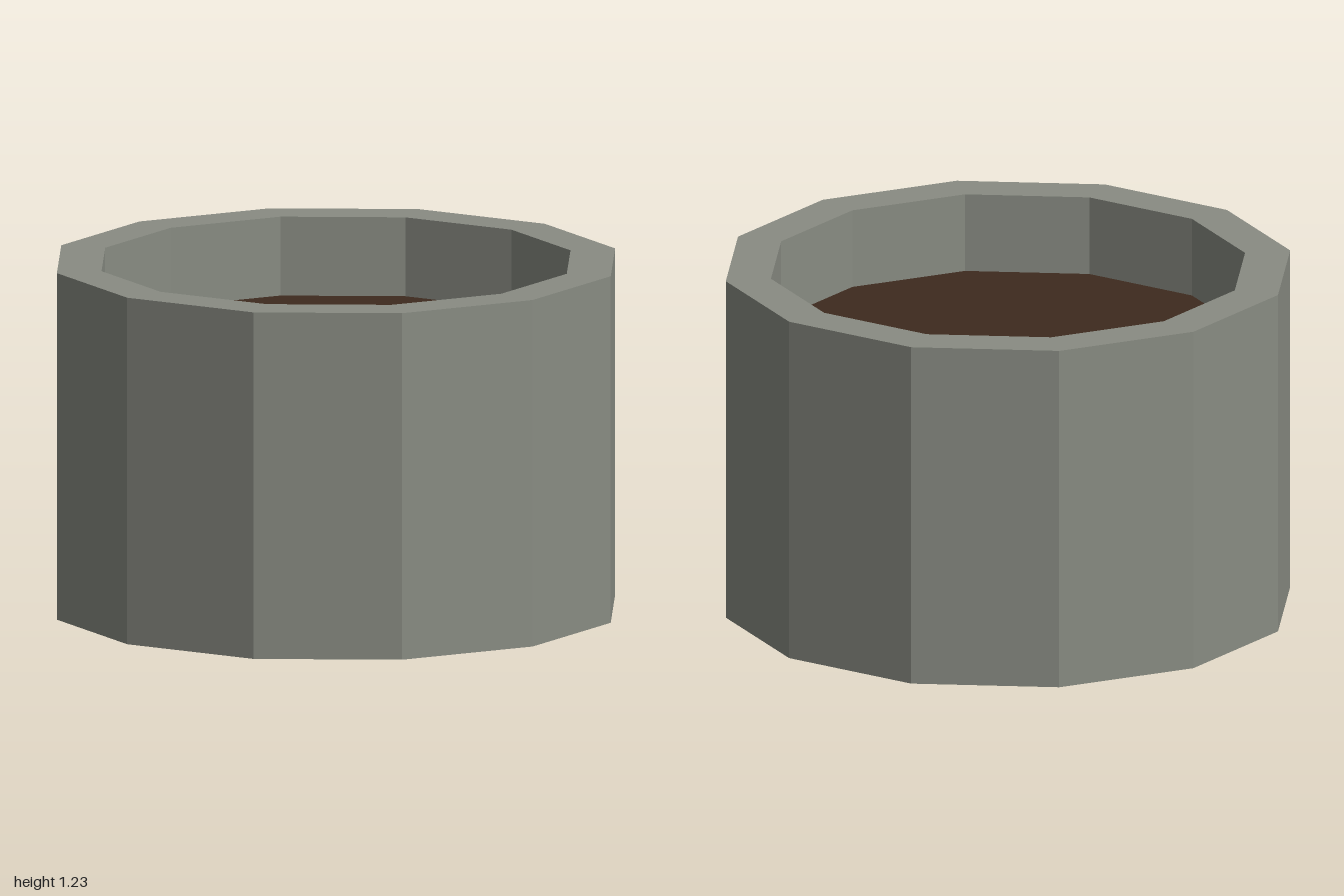
import * as THREE from 'three';

const SIDES = 12;
const HEIGHT = 1.23;
const INNER_RADIUS = 0.84;
const SOIL_LEVEL = 0.95;

export function createModel() {
  const model = new THREE.Group();
  model.name = 'planter';

  // Pot: base, outer wall, flat rim and inner wall in one turned profile
  const profile = [
    [0, 0], [1, 0], [1, HEIGHT], [INNER_RADIUS, HEIGHT], [INNER_RADIUS, SOIL_LEVEL],
  ].map(([r, y]) => new THREE.Vector2(r, y));
  const pot = new THREE.Mesh(
    new THREE.LatheGeometry(profile, SIDES),
    new THREE.MeshStandardMaterial({ color: 0x898c83, flatShading: true }),
  );
  pot.name = 'pot';
  model.add(pot);

  // Soil surface, sunk below the rim
  const soil = new THREE.Mesh(
    new THREE.CircleGeometry(INNER_RADIUS, SIDES).rotateX(-Math.PI / 2),
    new THREE.MeshStandardMaterial({ color: 0x3e2a1e, flatShading: true }),
  );
  soil.name = 'soil';
  soil.position.y = SOIL_LEVEL;
  model.add(soil);

  return model;
}
